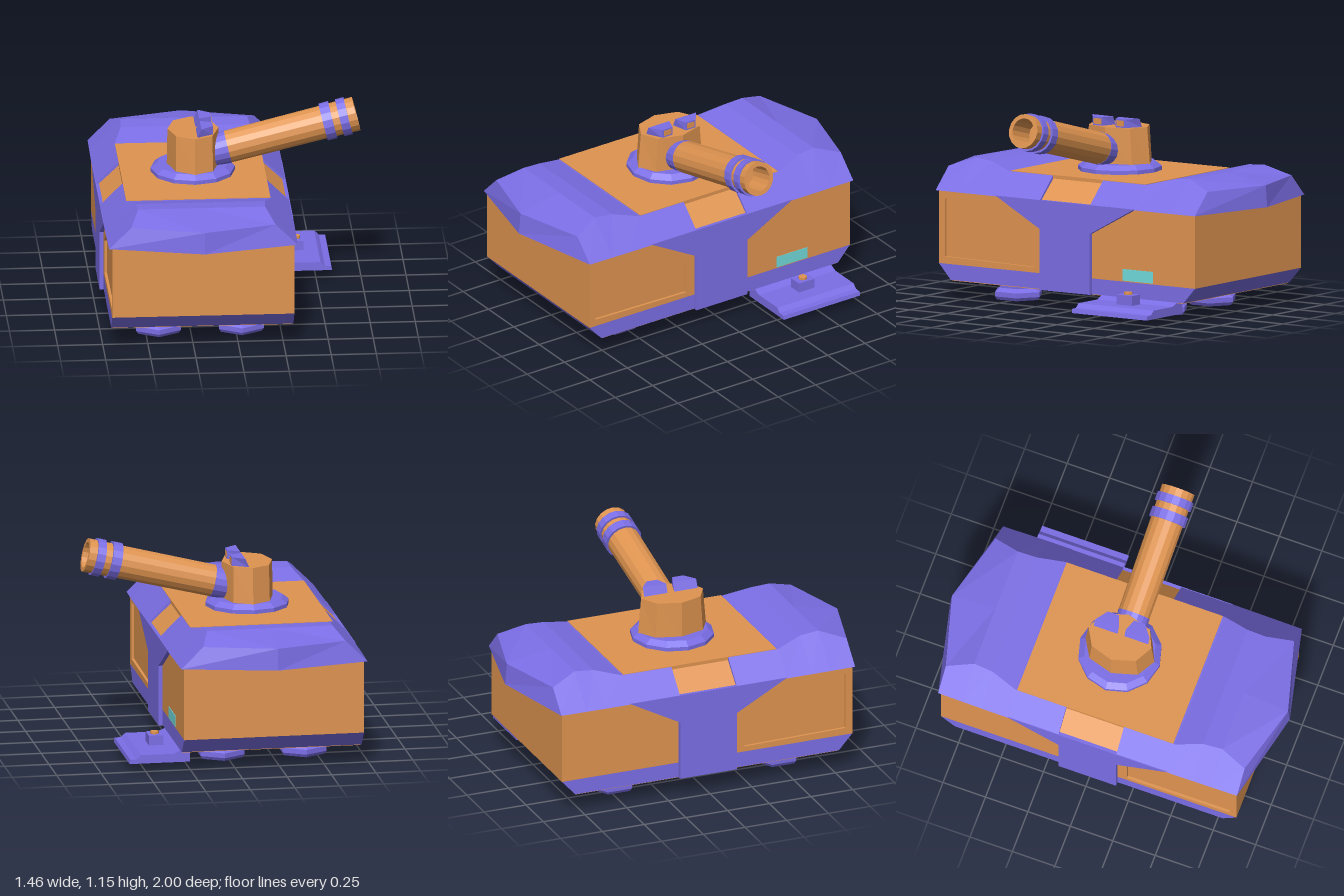
import * as THREE from 'three';

const mat = (color) => new THREE.MeshStandardMaterial({ color, flatShading: true });
const purple = mat(0x7b6ee6);
const orange = mat(0xdf9450);
const cyan = mat(0x72dcdc);

function add(parent, name, geometry, material, x = 0, y = 0, z = 0) {
  const mesh = new THREE.Mesh(geometry, material);
  mesh.name = name;
  mesh.position.set(x, y, z);
  parent.add(mesh);
  return mesh;
}

const box = (w, h, d) => new THREE.BoxGeometry(w, h, d);
const points = (list) => list.map(([x, y]) => new THREE.Vector2(x, y));

// Lathe from [radius, height] pairs
const turned = (profile, sides) => new THREE.LatheGeometry(points(profile), sides);

// Side profile in (z, y), extruded to a width centred on x = 0
function slab(outline, width, hole) {
  const shape = new THREE.Shape(points(outline));
  if (hole) shape.holes.push(new THREE.Path(points(hole)));
  return new THREE.ExtrudeGeometry(shape, { depth: width, bevelEnabled: false })
    .rotateY(-Math.PI / 2)
    .translate(width / 2, 0, 0);
}

// Roof shell from rows of [z, outer half width, top half width, top height, ridge z]
function roofShell(rows, base) {
  const loops = rows.map(([z, outer, top, y, ridge = z]) => [
    [-outer, base, z], [-top, y, z], [0, y, ridge - (ridge > z ? 0.01 : 0)],
    [top, y, z], [outer, base, z], [0, base, ridge],
  ]);
  const pos = [];
  const quad = (a, b, c, d) => pos.push(...a, ...b, ...c, ...a, ...c, ...d);
  for (let i = 0; i < loops.length - 1; i++) {
    const p = loops[i], q = loops[i + 1];
    for (let j = 0; j < 6; j++) {
      const k = (j + 1) % 6;
      quad(p[j], q[j], q[k], p[k]);
    }
  }
  const s = loops[0], e = loops[loops.length - 1];
  quad(s[0], s[1], s[2], s[5]);
  quad(s[5], s[2], s[3], s[4]);
  quad(e[0], e[5], e[2], e[1]);
  quad(e[5], e[4], e[3], e[2]);
  const g = new THREE.BufferGeometry();
  g.setAttribute('position', new THREE.Float32BufferAttribute(pos, 3));
  g.computeVertexNormals();
  return g;
}

function buildHull(hull) {
  add(hull, 'hullCore', box(0.98, 0.41, 1.74), orange, 0, 0.405, 0);
  add(hull, 'lowerHull', slab([[-0.79, 0.112], [0.79, 0.112], [0.87, 0.2], [-0.87, 0.2]], 1.01), purple);
  add(hull, 'bellyPlate', box(1.0, 0.006, 1.57), orange, 0, 0.111, 0);

  // Side plates: recessed panel at the front, plain at the rear
  const plate = [[0.17, 0.2], [0.87, 0.2], [0.87, 0.61], [0.47, 0.61], [0.17, 0.45]];
  const recess = [[0.225, 0.23], [0.83, 0.24], [0.83, 0.565], [0.47, 0.565], [0.225, 0.42]];
  const band = [[-0.17, 0.11], [0.17, 0.11], [0.17, 0.45], [0.47, 0.612], [-0.47, 0.612], [-0.17, 0.45]];
  for (const side of [-1, 1]) {
    add(hull, 'frontSidePlate', slab(plate, 0.02, recess), orange, side * 0.495);
    add(hull, 'rearSidePlate', slab(plate.map(([z, y]) => [-z, y]), 0.02), orange, side * 0.495);
    add(hull, 'sideBand', slab(band, 0.05), purple, side * 0.502);
  }
  add(hull, 'sideLight', box(0.01, 0.065, 0.205), cyan, 0.503, 0.238, -0.483);

  // Armoured roof: two mirrored ends with a recessed middle
  const end = roofShell([
    [0.17, 0.527, 0.4, 0.735],
    [0.47, 0.527, 0.4, 0.735],
    [0.62, 0.526, 0.358, 0.775],
    [0.73, 0.525, 0.352, 0.783],
    [0.88, 0.523, 0.4, 0.73, 1.0],
  ], 0.608);
  add(hull, 'frontRoof', end, purple);
  add(hull, 'rearRoof', end, purple).rotation.y = Math.PI;
  add(hull, 'middleRoof', roofShell([[-0.175, 0.512, 0.392, 0.722], [0.175, 0.512, 0.392, 0.722]], 0.608), orange);
  add(hull, 'topPlate', box(0.8, 0.02, 0.92), orange, 0, 0.728, 0);
}

function buildTurret(turret) {
  add(turret, 'turretRing', turned([[0, 0.73], [0.234, 0.73], [0.234, 0.76], [0.2, 0.786], [0, 0.786]], 12), purple);

  // Tapered faceted housing
  const outline = [[-0.14, 0], [-0.1, 0.13], [0, 0.185], [0.1, 0.14], [0.143, 0],
    [0.1, -0.14], [0, -0.185], [-0.1, -0.13]];
  const housing = new THREE.ExtrudeGeometry(new THREE.Shape(points(outline)), { depth: 0.21, bevelEnabled: false });
  housing.rotateX(-Math.PI / 2);
  const p = housing.attributes.position;
  for (let i = 0; i < p.count; i++) {
    if (p.getY(i) < 0.1) p.setXYZ(i, p.getX(i) * 1.03, p.getY(i), p.getZ(i) * 1.1);
  }
  add(turret, 'turretHousing', housing, orange, 0, 0.778, 0);

  // Pair of wedge-shaped sights on top
  for (const side of [-1, 1]) {
    const plan = [[0.015, 0.02], [0.105, 0.045], [0.105, 0.11], [0.015, 0.16]].map(([x, z]) => [x, z * side]);
    const sight = new THREE.ExtrudeGeometry(new THREE.Shape(points(plan)), { depth: 0.05, bevelEnabled: false });
    sight.rotateX(-Math.PI / 2);
    const s = sight.attributes.position;
    for (let i = 0; i < s.count; i++) {
      if (s.getY(i) > 0.03 && s.getX(i) < 0.05) s.setX(i, s.getX(i) + 0.022);
    }
    add(turret, 'sight', sight, purple, 0, 0.986, 0);
    add(turret, 'sightLens', box(0.035, 0.032, 0.05), orange, 0.09, 1.012, -side * 0.077);
  }

  // Raised gun with hollow muzzle and two rings
  const gun = new THREE.Group();
  gun.name = 'gun';
  gun.position.set(0.17, 0.872, 0.012);
  gun.rotation.z = -Math.PI / 2 + 0.243;
  turret.add(gun);
  add(gun, 'gunMantle', turned([[0, -0.08], [0.085, -0.08], [0.092, 0.025], [0, 0.025]], 16), purple);
  add(gun, 'barrel', turned([[0, 0], [0.09, 0], [0.093, 0.58], [0.096, 0.758], [0.072, 0.758], [0.068, 0.6], [0, 0.6]], 16), orange);
  for (const [y, h] of [[0.597, 0.055], [0.688, 0.048]]) {
    add(gun, 'barrelRing', new THREE.CylinderGeometry(0.106, 0.106, h, 16, 1, true), purple, 0, y, 0);
    for (const s of [-1, 1]) {
      const rim = add(gun, 'barrelRingFace', new THREE.RingGeometry(0.085, 0.106, 16), purple, 0, y + s * h / 2, 0);
      rim.rotation.set(-s * Math.PI / 2, 0, s > 0 ? 0 : Math.PI);
    }
  }
}

export function createModel() {
  const model = new THREE.Group();
  model.name = 'gunVehicle';

  const hull = new THREE.Group();
  hull.name = 'hull';
  hull.position.x = -0.2;
  model.add(hull);
  buildHull(hull);

  const turret = new THREE.Group();
  turret.name = 'turret';
  turret.position.x = -0.2;
  model.add(turret);
  buildTurret(turret);

  // Four hexagonal feet
  const foot = turned([[0, 0], [0.13, 0], [0.143, 0.018], [0.143, 0.045], [0.11, 0.065], [0.11, 0.115]], 6);
  for (const x of [-0.43, 0.03]) {
    for (const z of [0.525, -0.46]) add(model, 'foot', foot, purple, x, 0, z);
  }

  // Side ramp with a bolted block
  const rampProfile = [[0.25, 0.045], [0.59, 0.045], [0.585, 0.068], [0.55, 0.07],
    [0.525, 0.093], [0.345, 0.093], [0.3, 0.113], [0.25, 0.113]];
  const ramp = new THREE.ExtrudeGeometry(new THREE.Shape(points(rampProfile)), { depth: 0.51, bevelEnabled: false });
  add(model, 'sideRamp', ramp, purple, 0, 0, -0.745);
  add(model, 'rampBlock', box(0.08, 0.06, 0.105), purple, 0.405, 0.118, -0.487);
  add(model, 'rampBolt', new THREE.CylinderGeometry(0.024, 0.024, 0.02, 8), orange, 0.405, 0.152, -0.487);

  return model;
}
